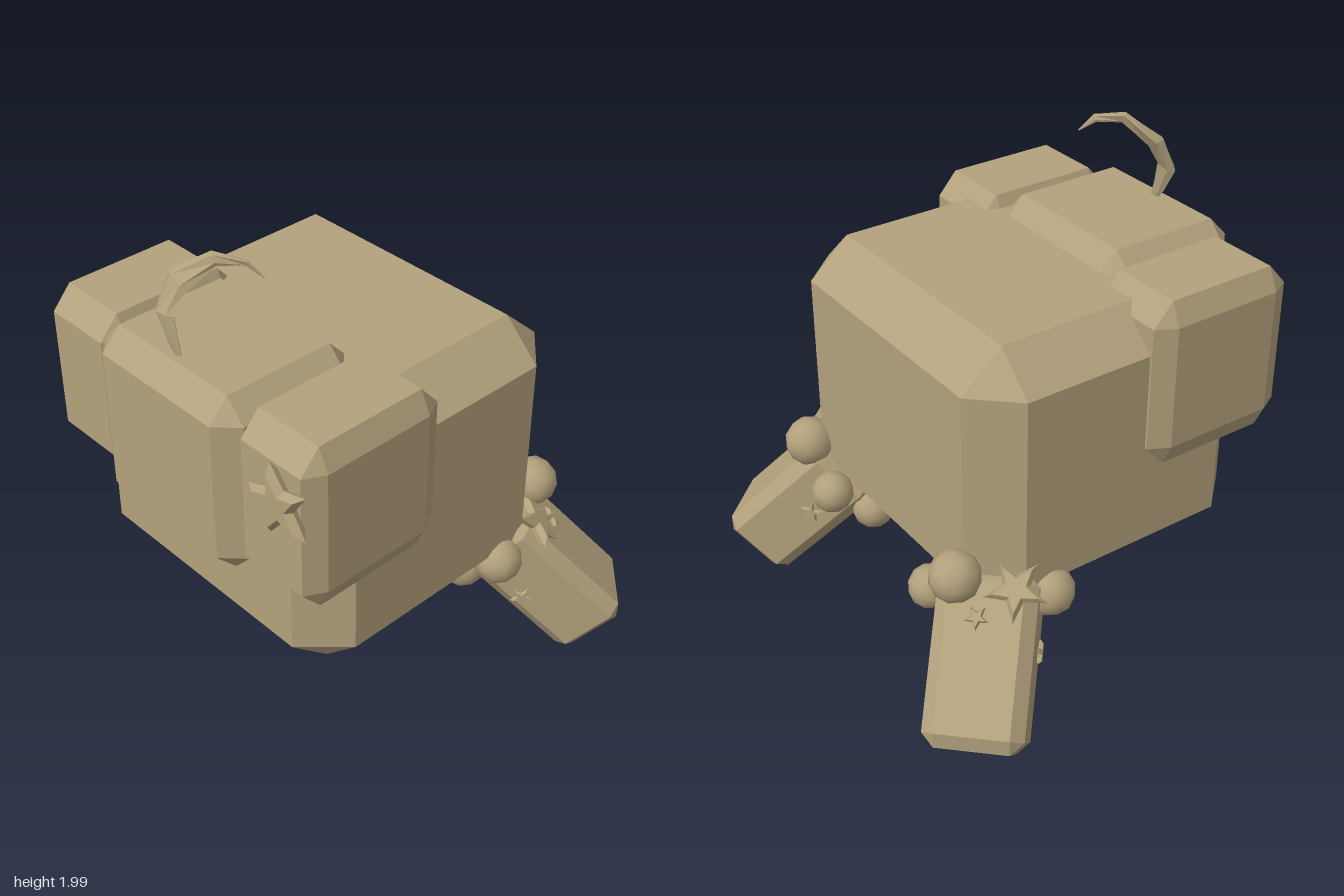
import * as THREE from 'three';
import { ConvexGeometry } from 'three/addons/geometries/ConvexGeometry.js';

const V = (x, y, z) => new THREE.Vector3(x, y, z);

// Box between two corners with every edge cut flat by bevel (bx, by, bz)
function chamferBox([x0, y0, z0], [x1, y1, z1], [bx, by, bz]) {
  const pts = [];
  for (const [x, xi] of [[x0, x0 + bx], [x1, x1 - bx]])
    for (const [y, yi] of [[y0, y0 + by], [y1, y1 - by]])
      for (const [z, zi] of [[z0, z0 + bz], [z1, z1 - bz]])
        pts.push(V(x, yi, zi), V(xi, y, zi), V(xi, yi, z));
  return new ConvexGeometry(pts);
}

// Flat-shaded skin over a list of rings, closed at both ends
function loft(rings) {
  const pos = [];
  const tri = (...p) => p.forEach((q) => pos.push(q.x, q.y, q.z));
  const n = rings[0].length;
  const centre = (r) => r.reduce((s, p) => s.add(p), V(0, 0, 0)).divideScalar(n);
  const last = rings[rings.length - 1];
  const c0 = centre(rings[0]);
  const c1 = centre(last);
  for (let i = 0; i < n; i++) {
    const j = (i + 1) % n;
    for (let k = 0; k < rings.length - 1; k++) {
      const a = rings[k], b = rings[k + 1];
      tri(a[i], a[j], b[j]);
      tri(a[i], b[j], b[i]);
    }
    tri(c0, rings[0][j], rings[0][i]);
    tri(c1, last[i], last[j]);
  }
  const g = new THREE.BufferGeometry();
  g.setAttribute('position', new THREE.Float32BufferAttribute(pos, 3));
  g.computeVertexNormals();
  return g;
}

// Five-pointed star in the xy plane with sloping rims on both faces
function starGeometry(r, h, turn = 0) {
  return loft([[0.72, -h], [1, 0], [0.72, h]].map(([s, z]) =>
    Array.from({ length: 10 }, (_, i) => {
      const a = turn + (i * Math.PI) / 5;
      const d = r * s * (i % 2 ? 0.43 : 1);
      return V(Math.cos(a) * d, Math.sin(a) * d, z);
    })));
}

// Tapering hooked curl
function curlGeometry() {
  const path = [
    [0.005, 1.6, 0.74, 0.015], [-0.025, 1.67, 0.745, 0.032], [-0.062, 1.77, 0.745, 0.052],
    [-0.05, 1.88, 0.69, 0.054], [0.04, 1.97, 0.6, 0.028], [0.12, 1.958, 0.525, 0.016],
    [0.17, 1.9, 0.485, 0.002],
  ];
  const at = (i) => V(...path[Math.min(Math.max(i, 0), path.length - 1)].slice(0, 3));
  return loft(path.map(([x, y, z, w], i) => {
    const t = at(i + 1).sub(at(i - 1)).normalize();
    const n = V(t.y, -t.x, 0).normalize();
    const m = t.clone().cross(n);
    return Array.from({ length: 6 }, (_, k) => {
      const a = (k * Math.PI) / 3;
      return V(x, y, z).addScaledVector(n, Math.cos(a) * w).addScaledVector(m, Math.sin(a) * w * 0.42);
    });
  }));
}

export function createModel() {
  const model = new THREE.Group();
  const tan = new THREE.MeshStandardMaterial({ color: 0xb3a17c });
  tan.name = 'tan';

  const add = (parent, name, geometry, position = [0, 0, 0], rotation = [0, 0, 0]) => {
    const mesh = new THREE.Mesh(geometry, tan);
    mesh.name = name;
    mesh.position.set(...position);
    mesh.rotation.set(...rotation);
    parent.add(mesh);
    return mesh;
  };

  // Body and head
  add(model, 'body', chamferBox([-0.68, 0.425, -0.54], [0.68, 1.55, 0.71], [0.158, 0.152, 0.17]));
  add(model, 'head', chamferBox([-0.382, 0.87, 0.23], [0.382, 1.625, 0.86], [0.083, 0.088, 0.083]));
  add(model, 'curl', curlGeometry());
  add(model, 'earStar', starGeometry(0.157, 0.028, Math.PI), [0.615, 1.382, 0.828]);

  // Collar beads around each leg: x, y, z, radius
  const beads = [
    [0.67, 0.52, -0.25, 0.098], [0.49, 0.385, -0.25, 0.098], [0.34, 0.37, -0.42, 0.09],
    [0.37, 0.5, -0.59, 0.088], [0.54, 0.66, -0.59, 0.103],
  ];

  for (const side of [1, -1]) {
    const half = new THREE.Group();
    half.name = side > 0 ? 'leftSide' : 'rightSide';
    half.scale.x = side;
    model.add(half);

    add(half, 'ear', chamferBox([0.35, 0.91, 0.17], [0.733, 1.602, 0.803], [0.043, 0.092, 0.082]));

    // Splayed leg: local z runs up the leg from the foot
    const leg = new THREE.Group();
    leg.name = 'leg';
    const across = V(0.69, 0, 0.72).normalize();
    const up = V(-0.497, 0.72, 0.476).normalize();
    const top = up.clone().cross(across).normalize();
    leg.quaternion.setFromRotationMatrix(new THREE.Matrix4().makeBasis(across, top, up));
    leg.position.set(0.83, 0.082, -0.705);
    half.add(leg);
    add(leg, 'legBlock', chamferBox([-0.19, -0.165, 0], [0.19, 0.165, 0.66], [0.05, 0.05, 0.05]));

    // Stars on the leg faces
    const q = Math.PI / 2;
    add(leg, 'largeLegStar', starGeometry(0.125, 0.024, q), [0.11, 0.18, 0.59], [-q, 0, 0]);
    add(leg, 'smallTopStar', starGeometry(0.05, 0.012, q), [-0.024, 0.173, 0.476], [-q, 0, 0]);
    add(leg, 'smallFrontStar', starGeometry(0.05, 0.012, 0.6), [0.195, -0.08, 0.38], [0, q, 0]);
    add(leg, 'smallBackStar', starGeometry(0.05, 0.012, 0.6), [-0.195, -0.03, 0.4], [0, -q, 0]);

    for (const [x, y, z, r] of beads)
      add(half, 'bead', new THREE.IcosahedronGeometry(r, 1), [x, y, z]);
  }
  return model;
}
